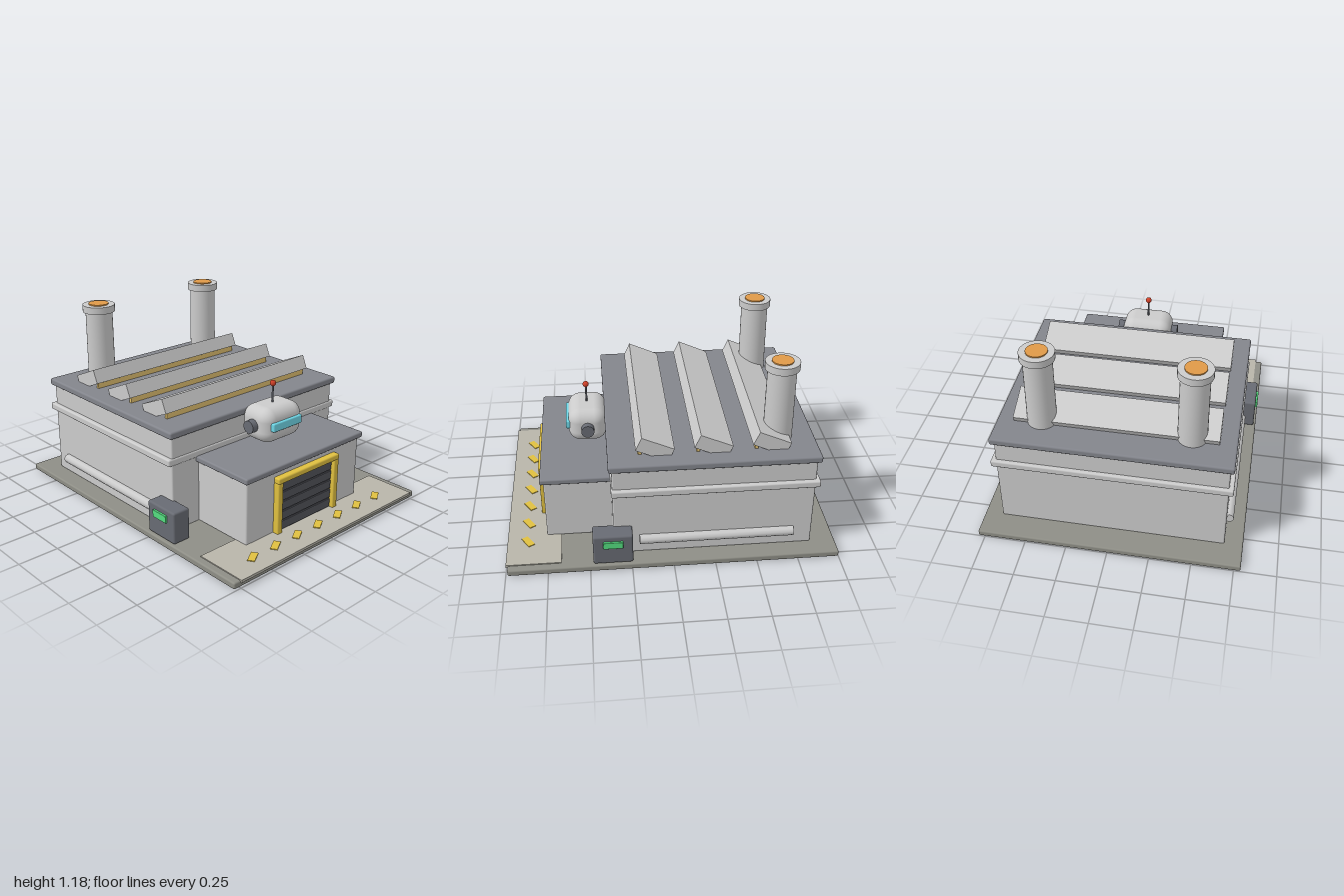
import * as THREE from 'three';
import { RoundedBoxGeometry } from 'three/addons/geometries/RoundedBoxGeometry.js';

const mat = (color) => new THREE.MeshStandardMaterial({ color });

export function createModel() {
  const model = new THREE.Group();
  const grey = mat(0xcccccc), roofGrey = mat(0x83858c), dark = mat(0x53545b), boxGrey = mat(0x686b73);
  const slab = mat(0x8e8e86), concrete = mat(0xb8b5aa), yellow = mat(0xe0c040), glow = mat(0xe0c070);
  const green = mat(0x55dd80), cyan = mat(0x70d8e8), orange = mat(0xe09a48), red = mat(0xd04028);

  const add = (name, geometry, material, x = 0, y = 0, z = 0, parent = model) => {
    const mesh = new THREE.Mesh(geometry, material);
    mesh.name = name;
    mesh.position.set(x, y, z);
    parent.add(mesh);
    return mesh;
  };
  // Box given by its lower and upper limits, optionally with rounded edges
  const box = (name, material, [x0, x1], [y0, y1], [z0, z1], r = 0) => {
    const size = [x1 - x0, y1 - y0, z1 - z0];
    const geo = r ? new RoundedBoxGeometry(...size, 3, r) : new THREE.BoxGeometry(...size);
    return add(name, geo, material, (x0 + x1) / 2, (y0 + y1) / 2, (z0 + z1) / 2);
  };

  // Ground slab, apron and hazard dashes
  box('groundSlab', slab, [-0.79, 0.79], [0, 0.04], [-1, 0.99], 0.01);
  box('apron', concrete, [-0.745, 0.745], [0.03, 0.046], [0.67, 1]);
  for (let i = -3; i <= 3; i++) {
    const dash = add('hazardDash', new THREE.BoxGeometry(0.09, 0.008, 0.042), yellow, i * 0.18, 0.047, 0.875);
    dash.rotation.y = 0.55;
  }

  // Main hall
  box('hall', grey, [-0.68, 0.68], [0.04, 0.64], [-0.845, 0.355], 0.01);
  box('hallBelt', grey, [-0.707, 0.707], [0.463, 0.507], [-0.868, 0.362], 0.01);
  box('hallRoof', roofGrey, [-0.702, 0.702], [0.633, 0.677], [-0.866, 0.374], 0.012);

  // Entrance annex
  box('annex', grey, [-0.48, 0.48], [0.04, 0.44], [0.3, 0.76], 0.01);
  box('annexRoof', roofGrey, [-0.5, 0.5], [0.434, 0.471], [0.3, 0.78], 0.01);

  // Shutter door with slats and yellow frame
  box('door', dark, [-0.222, 0.222], [0.045, 0.37], [0.74, 0.77]);
  for (let i = 0; i < 5; i++) {
    const y = 0.05 + i * 0.063;
    box('doorSlat', dark, [-0.215, 0.215], [y + 0.003, y + 0.055], [0.76, 0.778]);
  }
  for (const s of [-1, 1]) {
    const xs = [s * 0.222, s * 0.262].sort((a, b) => a - b);
    box('doorPost', yellow, xs, [0.04, 0.37], [0.75, 0.798], 0.008);
  }
  box('doorLintel', yellow, [-0.262, 0.262], [0.364, 0.402], [0.75, 0.8], 0.01);

  // Sawtooth skylights
  for (let i = 0; i < 3; i++) {
    const z = -i * 0.342;
    const hood = add('skylightHood', new THREE.BoxGeometry(1.2, 0.09, 0.208), grey, 0, 0.716, 0.098 + z);
    hood.rotation.x = -0.42;
    box('skylightWindow', glow, [-0.58, 0.58], [0.66, 0.75], [0.176 + z, 0.196 + z]);
  }

  for (const s of [-1, 1]) {
    // Chimney
    const chimney = new THREE.Group();
    chimney.name = 'chimney';
    chimney.position.set(s * 0.44, 0, -0.647);
    model.add(chimney);
    add('chimneyStack', new THREE.CylinderGeometry(0.085, 0.087, 0.48, 32), grey, 0, 0.9, 0, chimney);
    add('chimneyCap', new THREE.CylinderGeometry(0.102, 0.102, 0.045, 32), grey, 0, 1.15, 0, chimney);
    add('chimneyGlow', new THREE.CylinderGeometry(0.063, 0.063, 0.02, 32), orange, 0, 1.17, 0, chimney);

    // Control box and its lamp
    const span = (a, b) => [s * a, s * b].sort((p, q) => p - q);
    box('controlBox', boxGrey, span(0.66, 0.776), [0.042, 0.24], [0.244, 0.48], 0.012);
    box('controlLamp', green, span(0.76, 0.789), [0.16, 0.206], [0.302, 0.42], 0.004);

    // Side pipe
    const pipe = add('sidePipe', new THREE.CylinderGeometry(0.03, 0.03, 0.93, 10), grey, s * 0.69, 0.143, -0.265);
    pipe.rotation.x = Math.PI / 2;
  }

  // Robot head over the entrance
  const head = new THREE.Group();
  head.name = 'robotHead';
  head.position.set(0, 0.605, 0.48);
  model.add(head);
  add('headShell', new RoundedBoxGeometry(0.32, 0.218, 0.236, 6, 0.075), grey, 0, 0, 0, head);
  add('visor', new RoundedBoxGeometry(0.24, 0.054, 0.04, 3, 0.008), cyan, 0, 0.008, 0.114, head);
  for (const s of [-1, 1]) {
    const ear = add('ear', new THREE.CylinderGeometry(0.04, 0.04, 0.06, 24), boxGrey, s * 0.17, 0, 0, head);
    ear.rotation.z = Math.PI / 2;
  }
  add('antenna', new THREE.CylinderGeometry(0.006, 0.006, 0.13, 12), boxGrey, 0, 0.16, 0, head);
  add('antennaBall', new THREE.SphereGeometry(0.019, 20, 14), red, 0, 0.228, 0, head);

  return model;
}
